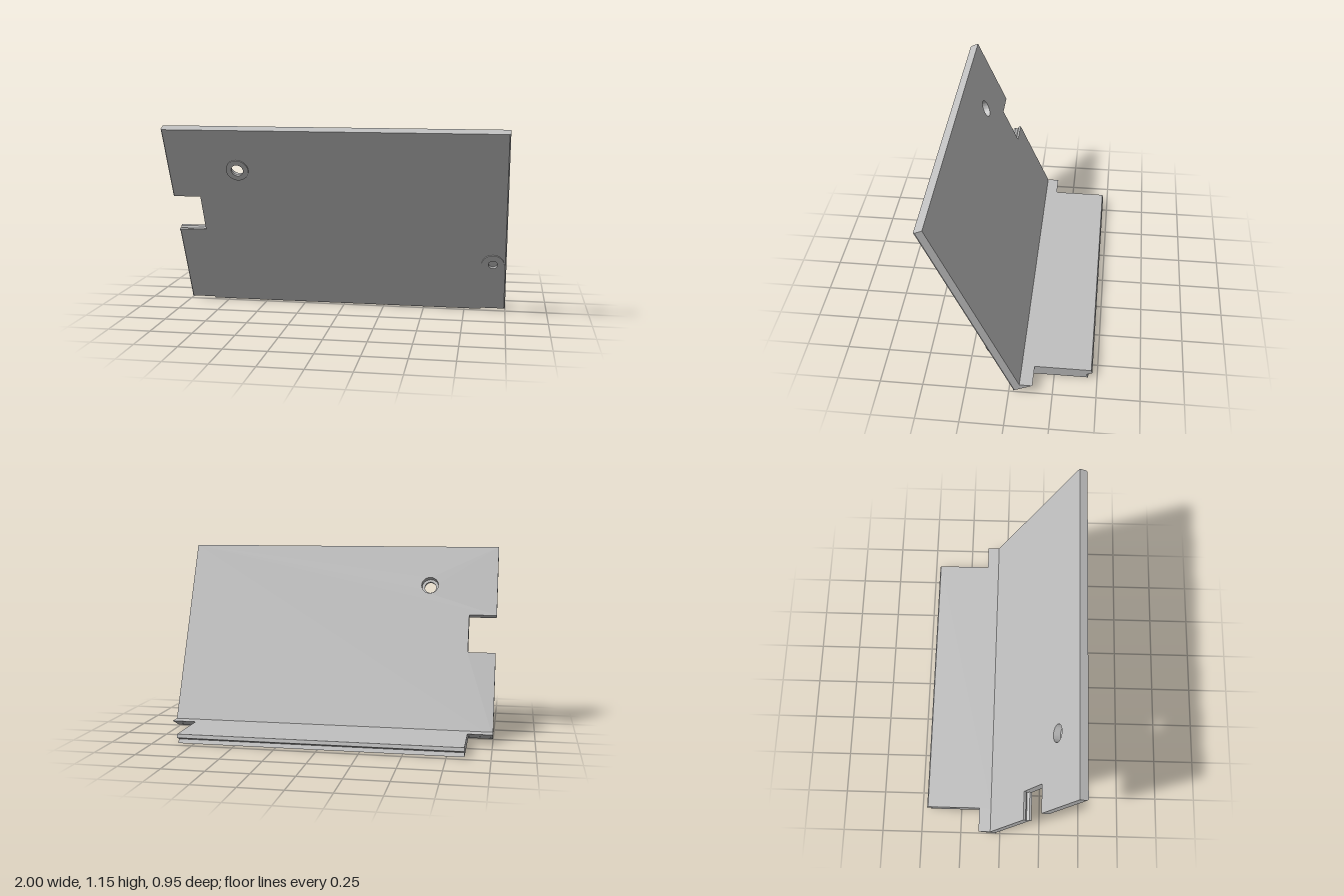
import * as THREE from 'three';
import { toCreasedNormals } from 'three/addons/utils/BufferGeometryUtils.js';

const THICK = 0.053, SKIN = 0.009, LENGTH = 1.224;
const EYELET = [-0.575, 0.961], STUD = [0.92, 0.338];

const circle = (path, [x, y], r) => path.absarc(x, y, r, 0, Math.PI * 2, false);

// Extrude a shape forward from z0
function plate(shape, z0, depth) {
  const g = new THREE.ExtrudeGeometry(shape, { depth, bevelEnabled: false, curveSegments: 24 });
  return g.translate(0, 0, z0);
}

// Extrude a (z, y) cross-section along x
function bar(points, centre, width) {
  const shape = new THREE.Shape(points.map(p => new THREE.Vector2(...p)));
  const g = new THREE.ExtrudeGeometry(shape, { depth: width, bevelEnabled: false });
  return g.translate(0, 0, -width / 2).rotateY(-Math.PI / 2).translate(centre, 0, 0);
}

// Panel outline with the side notch and round holes
function panelShape(holes) {
  const s = new THREE.Shape([
    [-1, 0], [1, 0], [1, LENGTH], [-1, LENGTH],
    [-1, 0.768], [-0.83, 0.768], [-0.83, 0.514], [-1, 0.514]
  ].map(p => new THREE.Vector2(...p)));
  for (const [centre, r] of holes) s.holes.push(circle(new THREE.Path(), centre, r));
  return s;
}

export function createModel() {
  const grey = new THREE.MeshStandardMaterial({ color: 0xc0c0c0 });
  grey.name = 'plain grey';
  const model = new THREE.Group();
  model.name = 'angledBracket';

  const add = (parent, name, geometry) => {
    const mesh = new THREE.Mesh(toCreasedNormals(geometry, 0.5), grey);
    mesh.name = name;
    parent.add(mesh);
  };

  // Leaning panel: local y runs up the slope, local z points out of the front
  const panel = new THREE.Group();
  panel.name = 'leaningPanel';
  panel.position.set(0, 0.009, -0.025);
  panel.rotation.x = 0.4215;
  model.add(panel);

  // Front skin with chamfered side edges
  const skin = plate(panelShape([[EYELET, 0.036], [STUD, 0.027]]), -SKIN, SKIN);
  const pos = skin.attributes.position;
  for (let i = 0; i < pos.count; i++) {
    if (Math.abs(pos.getX(i)) > 0.999 && pos.getZ(i) > -0.001) pos.setX(i, Math.sign(pos.getX(i)) * 0.993);
  }
  add(panel, 'panelFront', skin);

  // Thick back layer with a wider counterbore behind the eyelet
  add(panel, 'panelBack', plate(panelShape([[EYELET, 0.053]]), -THICK, THICK - SKIN));

  // Grooved lower edge of the notch
  add(panel, 'notchGroove', bar([
    [0, 0.512], [0, 0.526], [-0.014, 0.526], [-0.0265, 0.514],
    [-0.039, 0.526], [-THICK, 0.526], [-THICK, 0.512]
  ], -0.915, 0.17));

  // Raised rings around the two holes
  for (const [name, centre, r] of [['eyeletRing', EYELET, 0.036], ['studRing', STUD, 0.027]]) {
    const ring = circle(new THREE.Shape(), centre, 0.067);
    ring.holes.push(circle(new THREE.Path(), centre, r));
    add(panel, name, plate(ring, 0, 0.007));
  }

  // Foot with a notched rear edge
  add(model, 'foot', bar([
    [-0.025, 0.009], [-0.03, 0], [-0.448, 0], [-0.436, 0.023],
    [-0.471, 0.038], [-0.464, 0.059], [-0.058, 0.059]
  ], 0, 1.7));

  // Tapered wedges at both ends of the bend
  for (const side of [-1, 1]) {
    add(model, side > 0 ? 'leftWedge' : 'rightWedge',
      bar([[-0.025, 0.009], [-0.135, 0.059], [-0.058, 0.059]], side * 0.925, 0.15));
  }
  return model;
}
